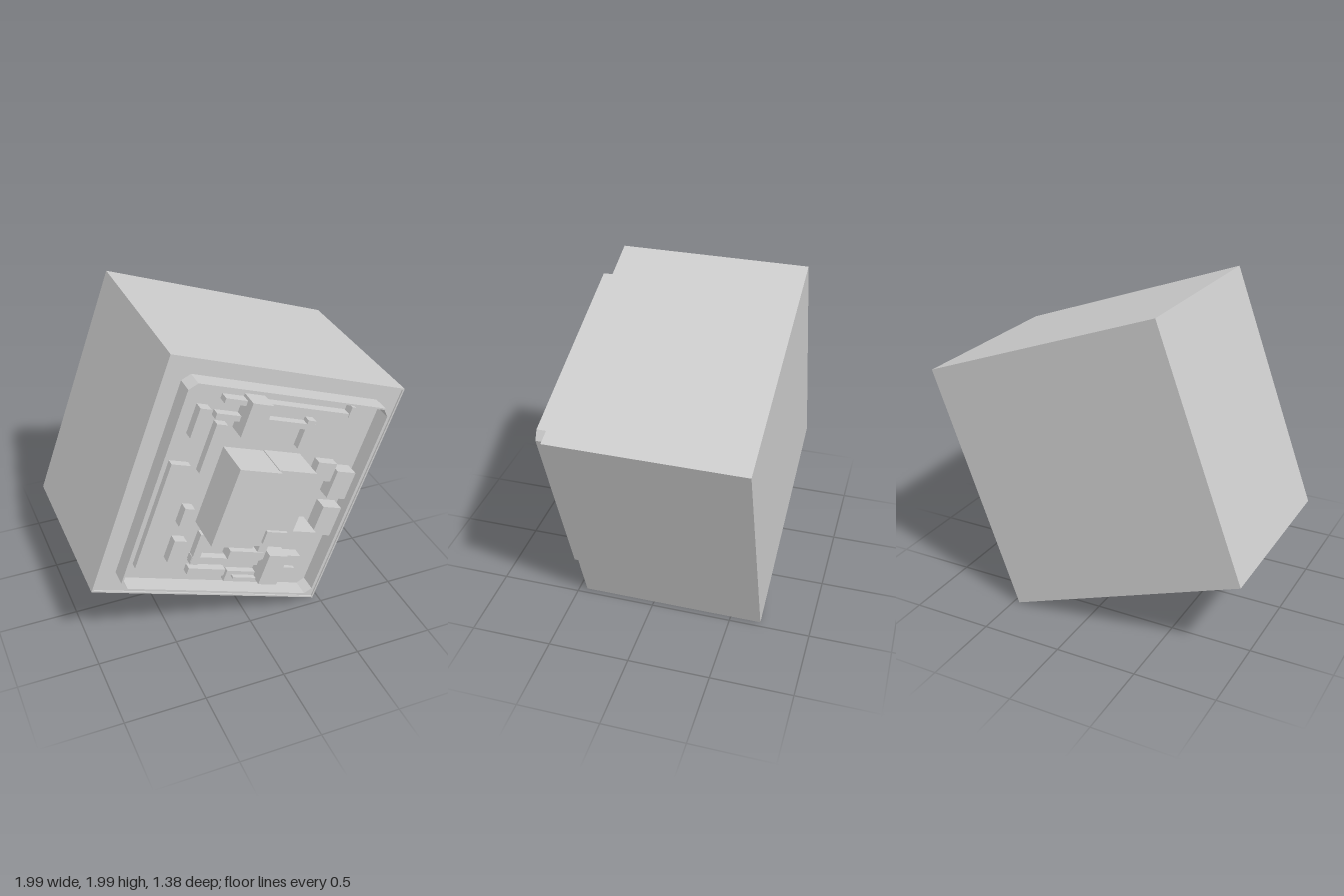
import * as THREE from 'three';

const TILT = -20 * Math.PI / 180; // the whole case leans clockwise
const FLOOR = 0.44;               // front plane that carries the fittings
const SIDE = 1.552;
const mat = new THREE.MeshStandardMaterial({ color: 0xcccccc, flatShading: true });

// Front-view point -> tilted local point (pivot at x 0, y 1)
const toLocal = ([x, y]) => new THREE.Vector2(x, y - 1).rotateAround(new THREE.Vector2(), -TILT);

// Rectangle with cut corners
function octagon(hw, hh, c) {
  return [[-hw + c, hh], [-hw, hh - c], [-hw, -hh + c], [-hw + c, -hh],
    [hw - c, -hh], [hw, -hh + c], [hw, hh - c], [hw - c, hh]].map(p => new THREE.Vector2(...p));
}

// Hollow frame of constant wall, extruded along z
function frame(hw, hh, cut, wall, depth) {
  const shape = new THREE.Shape(octagon(hw, hh, cut));
  shape.holes.push(new THREE.Path(octagon(hw - wall, hh - wall, cut * 0.9)));
  return new THREE.ExtrudeGeometry(shape, { depth, bevelEnabled: false });
}

export function createModel() {
  const model = new THREE.Group();
  model.name = 'equipmentBox';
  model.position.y = 1;
  model.rotation.z = TILT;

  function add(name, geometry, x, y, z) {
    const mesh = new THREE.Mesh(geometry, mat);
    mesh.name = name;
    mesh.position.set(x, y, z);
    model.add(mesh);
  }

  // Block from its upper-left and lower-right corners, standing on a base plane
  function block(name, x1, y1, x2, y2, top, base = FLOOR) {
    const a = toLocal([x1, y1]), b = toLocal([x2, y2]);
    add(name, new THREE.BoxGeometry(b.x - a.x, a.y - b.y, top - base),
      (a.x + b.x) / 2, (a.y + b.y) / 2, (top + base) / 2);
  }

  // Case, its thin front lip and the raised rim
  const depth = FLOOR + 0.69;
  add('case', new THREE.BoxGeometry(SIDE, SIDE, depth), 0, 0, FLOOR - depth / 2);
  add('caseLip', frame(SIDE / 2, SIDE / 2, 0.0001, 0.01, 0.01), 0, 0, FLOOR);
  add('rim', frame(0.663, 0.678, 0.045, 0.01, 0.11), 0, 0, FLOOR);

  // Central housing in two steps with a small panel
  block('housingLeft', -0.163, 1.339, -0.083, 0.763, 0.69);
  block('housingRight', 0.088, 1.253, 0.147, 0.683, 0.665);
  block('housingPanel', 0.013, 0.853, 0.115, 0.725, 0.685, 0.66);

  // Fittings of the upper half
  block('longSideStrip', -0.49, 1.33, -0.62, 0.62, 0.485);
  block('upperLeftBlock', -0.32, 1.66, -0.32, 1.46, 0.5);
  block('upperPipe', -0.17, 1.69, 0.59, 1.38, 0.5);
  block('upperPipeEnd', 0.62, 1.45, 0.62, 1.375, 0.5);
  block('archBar', -0.22, 1.60, 0.38, 1.344, 0.49);
  block('archLeftLeg', -0.22, 1.53, -0.265, 1.205, 0.49);
  block('archRightLeg', 0.345, 1.42, 0.33, 1.225, 0.49);
  block('upperClamp', -0.035, 1.66, 0.015, 1.413, 0.56);

  // Small blocks at the sides
  block('rightBlockTop', 0.425, 1.115, 0.505, 0.955, 0.5);
  block('rightBlockMiddle', 0.537, 1.04, 0.596, 0.82, 0.53);
  block('rightBlockBottom', 0.457, 0.80, 0.51, 0.565, 0.53);
  block('tallBlock', 0.206, 0.747, 0.345, 0.613, 0.61);
  block('leftBlockTop', -0.42, 1.013, -0.404, 0.875, 0.5);
  block('leftBlockBottom', -0.49, 0.80, -0.468, 0.63, 0.5);

  // Fittings of the lower half
  block('elbowLeg', -0.323, 0.79, -0.35, 0.57, 0.49);
  block('elbowBar', -0.382, 0.64, 0.04, 0.443, 0.488);
  block('lowerBar', -0.147, 0.635, 0.05, 0.50, 0.52);
  block('lowerPost', 0.05, 0.624, 0.067, 0.50, 0.515);
  block('lowerStrip', -0.404, 0.56, -0.184, 0.432, 0.49);
  block('lowerTray', -0.152, 0.453, 0.061, 0.293, 0.48);
  block('trayRidge', -0.125, 0.417, 0.061, 0.335, 0.51, 0.47);
  block('lowerClamp', 0.094, 0.555, 0.142, 0.309, 0.56);
  block('upperTab', 0.206, 0.485, 0.302, 0.373, 0.51);
  block('lowerTab', 0.168, 0.395, 0.265, 0.272, 0.5);

  const root = new THREE.Group();
  root.name = 'model';
  root.add(model);
  return root;
}
